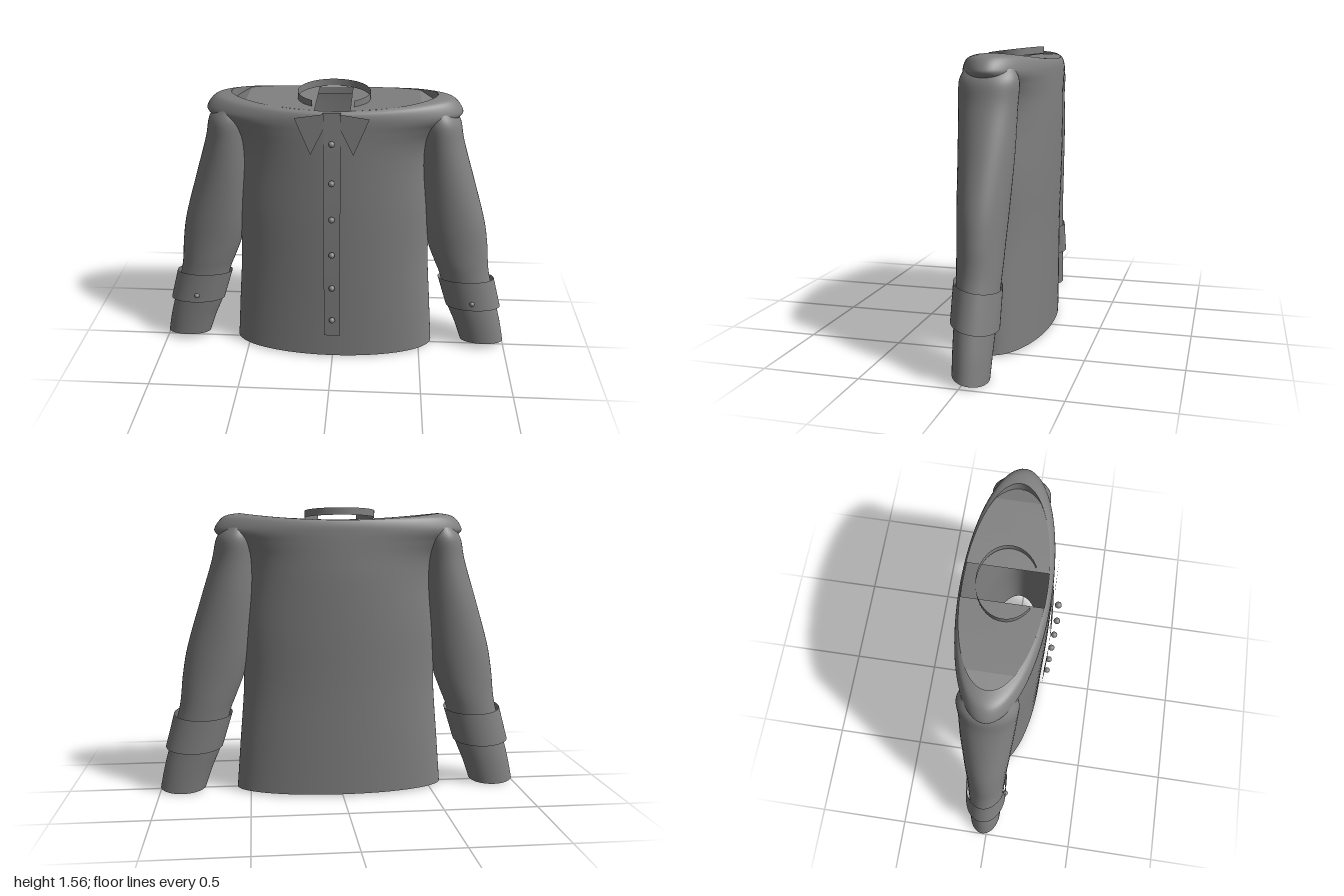
import * as THREE from 'three';

const fabric = new THREE.MeshStandardMaterial({ color: 0x808080, side: THREE.DoubleSide });
fabric.name = 'grey fabric';

function add(parent, name, geometry) {
  const mesh = new THREE.Mesh(geometry, fabric);
  mesh.name = name;
  parent.add(mesh);
  return mesh;
}

// Surface from a grid of points; rows run upward, columns run from +x towards +z.
function grid(rows, cols, closed, point) {
  const pos = [], index = [];
  for (let i = 0; i <= rows; i++)
    for (let j = 0; j < (closed ? cols : cols + 1); j++) pos.push(...point(i / rows, j / cols));
  const w = closed ? cols : cols + 1;
  for (let i = 0; i < rows; i++)
    for (let j = 0; j < cols; j++) {
      const a = i * w + j, b = i * w + (j + 1) % w;
      index.push(a, a + w, b, b, a + w, b + w);
    }
  const g = new THREE.BufferGeometry();
  g.setAttribute('position', new THREE.Float32BufferAttribute(pos, 3));
  g.setIndex(index);
  g.computeVertexNormals();
  return g;
}

// Elliptical loft. Each ring: [y, xMax, xMin, zFront, zBack, lift per z, lift per x squared]
function loft(rings, rows, cols = 64, side = 1) {
  const n = rings.length - 1;
  return grid(rows, cols, true, (v, u) => {
    const k = Math.min(Math.floor(v * n), n - 1), t = v * n - k;
    const at = (i, c) => rings[Math.max(0, Math.min(n, i))][c] ?? 0;
    const val = (c) => {
      const p0 = at(k - 1, c), p1 = at(k, c), p2 = at(k + 1, c), p3 = at(k + 2, c);
      const m1 = (p2 - p0) / 2, m2 = (p3 - p1) / 2;
      return (2 * t ** 3 - 3 * t * t + 1) * p1 + (t ** 3 - 2 * t * t + t) * m1
        + (3 * t * t - 2 * t ** 3) * p2 + (t ** 3 - t * t) * m2;
    };
    const a = u * Math.PI * 2 * side + (side < 0 ? Math.PI : 0);
    const cx = side * (val(1) + val(2)) / 2, rx = (val(1) - val(2)) / 2;
    const x = cx + rx * Math.cos(side < 0 ? -a : a);
    const dz = (val(3) - val(4)) / 2 * Math.sin(side < 0 ? -a : a);
    return [x, val(0) + val(5) * dz + val(6) * x * x, (val(3) + val(4)) / 2 + dz];
  });
}

export function createModel() {
  const shirt = new THREE.Group();
  shirt.name = 'shirt';

  // Torso: open at the hem, flaring into rounded shoulders
  const torso = [
    [0.02, 0.575, 0.185, -0.23, 0], [0.3, 0.553, 0.19, -0.235, 0], [0.6, 0.53, 0.197, -0.24, 0],
    [0.9, 0.528, 0.203, -0.25, 0], [1.17, 0.512, 0.205, -0.255, 0], [1.3, 0.535, 0.205, -0.253, 0],
    [1.38, 0.6, 0.204, -0.251, 0], [1.43, 0.665, 0.203, -0.249, 0], [1.465, 0.668, 0.2, -0.246, 0],
    [1.488, 0.62, 0.192, -0.24, 0.08], [1.5, 0.54, 0.178, -0.234, 0.12],
  ].map(([y, x, f, b, l]) => [y, x, -x, f, b, 0, l]);
  add(shirt, 'torso', loft(torso, 60, 80));
  add(shirt, 'shoulderRim', loft([[1.46, 0.54, -0.54, 0.178, -0.234, 0, 0.07],
    [1.5, 0.54, -0.54, 0.178, -0.234, 0, 0.12]], 1, 80));

  for (const s of [1, -1]) {
    const side = new THREE.Group();
    side.name = s > 0 ? 'leftSide' : 'rightSide';
    shirt.add(side);

    // Flat yoke panels either side of the open slot
    const yoke = (x0, x1, y0, y1) => grid(12, 2, false, (v, u) => {
      const t = s > 0 ? v : 1 - v;
      const x = x0 + (x1 - x0) * t;
      const h = 0.206 * Math.sqrt(Math.max(0, 1 - (x / 0.54) ** 2));
      return [s * x, y0 + (y1 - y0) * t, -0.028 + h * (1 - 2 * u) * -1];
    });
    const top = add(side, 'yokePanel', yoke(0.09, 0.45, 1.5, 1.518));
    const end = add(side, 'yokeEnd', yoke(0.45, 0.54, 1.518, 1.48));
    for (const m of [top, end]) {
      // Keep the panels facing upward
      m.geometry.index.array.reverse();
      m.geometry.computeVertexNormals();
    }

    // Sleeve, tapering to a slanted open wrist
    add(side, 'sleeve', loft([
      [0.03, 1.0, 0.75, 0.065, -0.11, 0.23], [0.15, 0.975, 0.708, 0.07, -0.115, 0.22],
      [0.28, 0.94, 0.655, 0.075, -0.12, 0.2], [0.46, 0.89, 0.607, 0.08, -0.13, 0.18],
      [0.55, 0.874, 0.572, 0.085, -0.135, 0.15], [0.66, 0.862, 0.53, 0.09, -0.14, 0.12],
      [0.82, 0.832, 0.49, 0.1, -0.15, 0.08], [1.07, 0.757, 0.46, 0.113, -0.165, 0],
      [1.28, 0.692, 0.45, 0.123, -0.17, 0], [1.4, 0.665, 0.45, 0.125, -0.175, 0],
      [1.46, 0.62, 0.48, 0.1, -0.15, 0],
    ], 50, 40, s));

    // Turned-back cuff and its button
    add(side, 'cuff', loft([[0.265, 0.965, 0.652, 0.09, -0.14, 0.21],
      [0.45, 0.915, 0.595, 0.09, -0.14, 0.21]], 2, 48, s));
    add(side, 'cuffButton', new THREE.SphereGeometry(0.015, 16, 12)).position.set(s * 0.79, 0.335, 0.088);

    // Pointed collar flap
    const flap = new THREE.Shape([[0.04, 1.495], [0.045, 1.41], [0.11, 1.275], [0.19, 1.472]]
      .map(([x, y]) => new THREE.Vector2(s * x, y)));
    const flapMesh = add(side, 'collarFlap', new THREE.ShapeGeometry(flap));
    flapMesh.position.z = 0.213;
  }

  // Standing neckband, open at the front and higher at the back
  add(shirt, 'neckband', grid(1, 48, false, (v, u) => {
    const a = Math.PI / 2 + 0.6 + u * (Math.PI * 2 - 1.2);
    const z = -0.015 + 0.15 * Math.sin(a);
    return [0.19 * Math.cos(a), 1.546 - 0.115 * z - 0.038 * (1 - v), z];
  }));

  // Button placket, following the chest
  const placket = new THREE.PlaneGeometry(0.09, 1.33, 1, 16);
  const p = placket.attributes.position;
  for (let i = 0; i < p.count; i++) {
    const y = p.getY(i) + 0.835;
    p.setXYZ(i, p.getX(i), y, 0.205 + 0.014 * Math.sin(Math.PI * (y - 0.17) / 1.33));
  }
  placket.computeVertexNormals();
  add(shirt, 'placket', placket);

  // Front buttons
  [[0.285, 0.225], [0.495, 0.228], [0.705, 0.234], [0.92, 0.239], [1.13, 0.243], [1.345, 0.239]]
    .forEach(([y, z]) => add(shirt, 'frontButton', new THREE.SphereGeometry(0.017, 16, 12)).position.set(0, y, z));

  return shirt;
}
